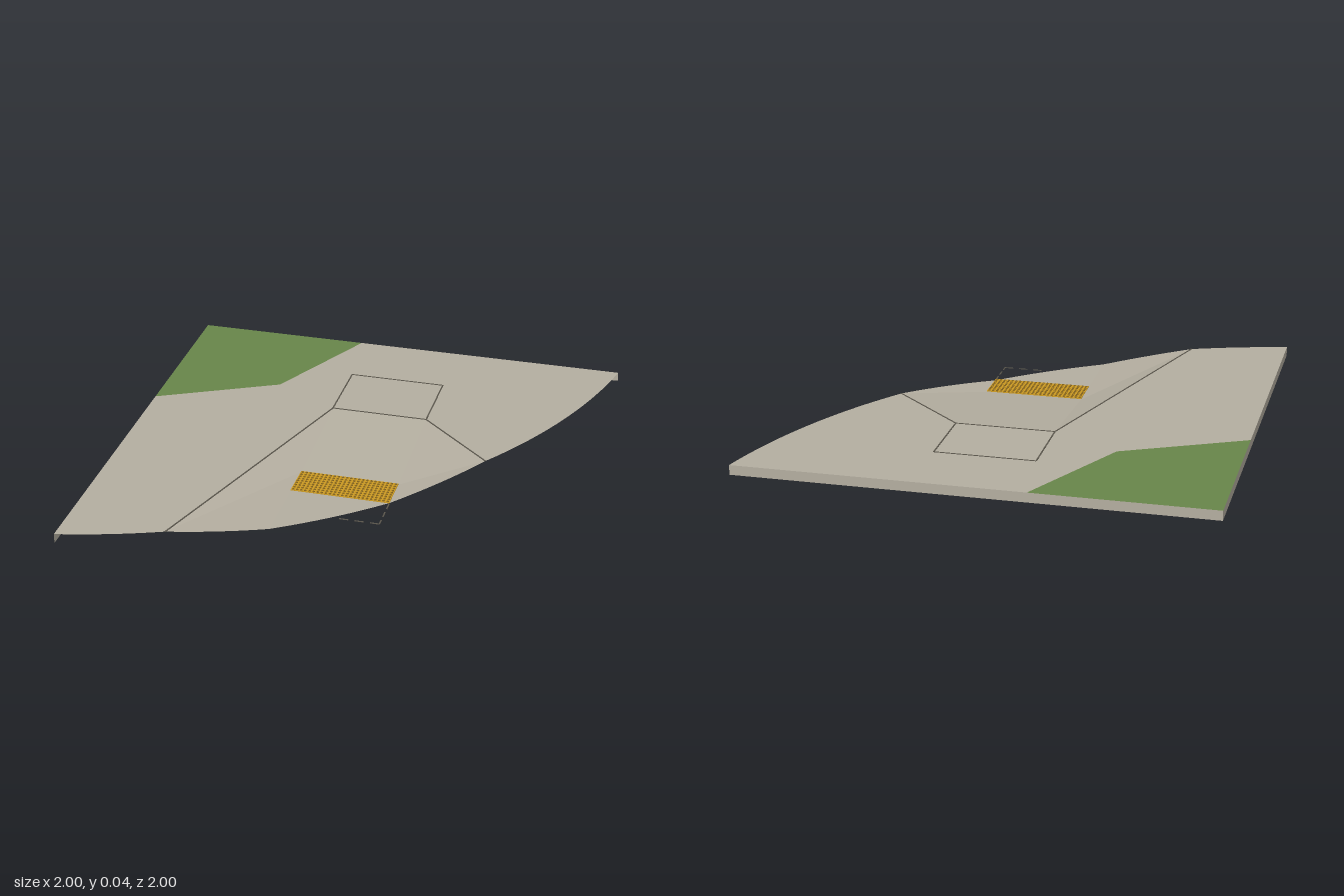
import * as THREE from 'three';
import { mergeGeometries } from 'three/addons/utils/BufferGeometryUtils.js';

const material = (name, color) => {
  const m = new THREE.MeshStandardMaterial({ color, side: THREE.DoubleSide });
  m.name = name;
  return m;
};

const H = 0.042;                        // pavement height above the gutter
const L = -0.19, R = 0.24;              // ramp sides
const TOP = -0.33, TOE = 0.19;          // ramp head and toe (z)
const FL = -0.57, FR = 0.57;            // outer ends of the flares on the kerb (x)

// Rounded street corner: circular arc centred on the diagonal
const C = -1.55, RAD2 = 2 + 2 * C * C;
const kerbZ = (x) => C + Math.sqrt(RAD2 - (x - C) ** 2);
function kerb(x0, x1, y0, y1, n) {
  return Array.from({ length: n + 1 }, (_, i) => {
    const t = i / n, a0 = Math.atan2(kerbZ(x0) - C, x0 - C), a1 = Math.atan2(kerbZ(x1) - C, x1 - C);
    const a = a0 + (a1 - a0) * t, r = Math.sqrt(RAD2);
    const x = C + r * Math.cos(a);
    return [x, y0 + (y1 - y0) * (x - x0) / (x1 - x0), C + r * Math.sin(a)];
  });
}

// Upward-facing sheet from an outline of [x, y, z] points
function sheetGeometry(outline) {
  let pts = outline;
  const flat = (list) => list.map(([x, , z]) => new THREE.Vector2(x, -z));
  if (THREE.ShapeUtils.isClockWise(flat(pts))) pts = [...pts].reverse();
  const faces = THREE.ShapeUtils.triangulateShape(flat(pts), []);
  const g = new THREE.BufferGeometry();
  g.setAttribute('position', new THREE.Float32BufferAttribute(faces.flat().flatMap((i) => pts[i]), 3));
  g.computeVertexNormals();
  return g;
}

// Thin strip laid along a segment
function strip(a, b, width = 0.006) {
  const p = new THREE.Vector3(...a), q = new THREE.Vector3(...b);
  const g = new THREE.BoxGeometry(width, 0.002, p.distanceTo(q));
  const m = new THREE.Matrix4().lookAt(q, p, new THREE.Vector3(0, 1, 0));
  m.setPosition(p.add(q).multiplyScalar(0.5));
  return g.applyMatrix4(m);
}

export function createModel() {
  const concrete = material('concrete', 0xb5afa1);
  const grass = material('grass', 0x68864a);
  const yellow = material('warning yellow', 0xcb9a22);
  const dome = material('dome brown', 0x80601a);
  const ink = material('joint grey', 0x5a564c);

  const model = new THREE.Group();
  model.name = 'cornerKerbRamp';
  const add = (name, geometry, mat) => {
    const mesh = new THREE.Mesh(geometry, mat);
    mesh.name = name;
    model.add(mesh);
    return mesh;
  };

  // Lawn and level pavement around the ramp
  const lawn = [[-1, H, -0.235], [-0.485, H, -0.49], [-0.23, H, -1]];
  add('lawn', sheetGeometry([[-1, H, -1], ...lawn]), grass);
  add('pavement', sheetGeometry([
    [1, H, -1], ...kerb(1, FR, H, H, 16).slice(1),
    [R, H, TOP], [L, H, TOP],
    ...kerb(FL, -1, H, H, 8), ...lawn,
  ]), concrete);

  // Ramp slope and level toe
  add('rampSlope', sheetGeometry([[L, H, TOP], [R, H, TOP], [R, 0, TOE], [L, 0, TOE]]), concrete);
  add('rampToe', sheetGeometry([[L, 0, TOE], [R, 0, TOE], ...kerb(R, L, 0, 0, 10)]), concrete);

  // Side flares: an upper triangle and a fan down to the kerb line
  for (const [side, x, end] of [['left', R, FR], ['right', L, FL]]) {
    const corner = [x, 0, TOE];
    const edge = kerb(end, x, H, 0, 8);
    const parts = [sheetGeometry([[x, H, TOP], corner, edge[0]])];
    for (let i = 0; i < 8; i++) parts.push(sheetGeometry([corner, edge[i], edge[i + 1]]));
    add(side + 'Flare', mergeGeometries(parts), concrete);
  }

  // Straight outer walls
  const back = add('backWall', new THREE.PlaneGeometry(2, H), concrete);
  back.position.set(0, H / 2, -1);
  back.rotation.y = Math.PI;
  const side = add('sideWall', new THREE.PlaneGeometry(2, H), concrete);
  side.position.set(-1, H / 2, 0);
  side.rotation.y = -Math.PI / 2;

  // Tactile warning pad with rows of domes
  const padW = R - L, padD = 0.165;
  const pad = add('warningPad', new THREE.BoxGeometry(padW, 0.003, padD), yellow);
  pad.position.set((L + R) / 2, 0.0035, TOE + padD / 2);
  const domes = [], cols = 24, rows = 9;
  for (let i = 0; i < cols; i++) {
    for (let j = 0; j < rows; j++) {
      domes.push(new THREE.CylinderGeometry(0.0035, 0.006, 0.003, 8).translate(
        L + padW * (i + 0.5) / cols, 0.0065, TOE + padD * (j + 0.5) / rows));
    }
  }
  add('warningDomes', mergeGeometries(domes), dome);

  // Joint lines: upper landing square and flare edges
  const y = H + 0.0005, far = -0.67;
  add('jointLines', mergeGeometries([
    strip([L, y, far], [R, y, far]), strip([L, y, TOP], [R, y, TOP]),
    strip([L, y, far], [L, y, TOP]), strip([R, y, far], [R, y, TOP]),
    strip([L, y, TOP], [FL, y, kerbZ(FL)]), strip([R, y, TOP], [FR, y, kerbZ(FR)]),
  ]), ink);

  // Dashed clear-space marking in the gutter
  const dashes = [], g = 0.001, front = 0.525;
  for (let z = 0.36; z < front - 0.01; z += 0.066) {
    dashes.push(strip([R, g, z], [R, g, Math.min(z + 0.04, front)]));
  }
  for (let x = R; x > 0.05; x -= 0.066) {
    dashes.push(strip([x, g, front], [Math.max(x - 0.04, 0.03), g, front]));
  }
  add('clearSpaceDashes', mergeGeometries(dashes), ink);

  return model;
}
